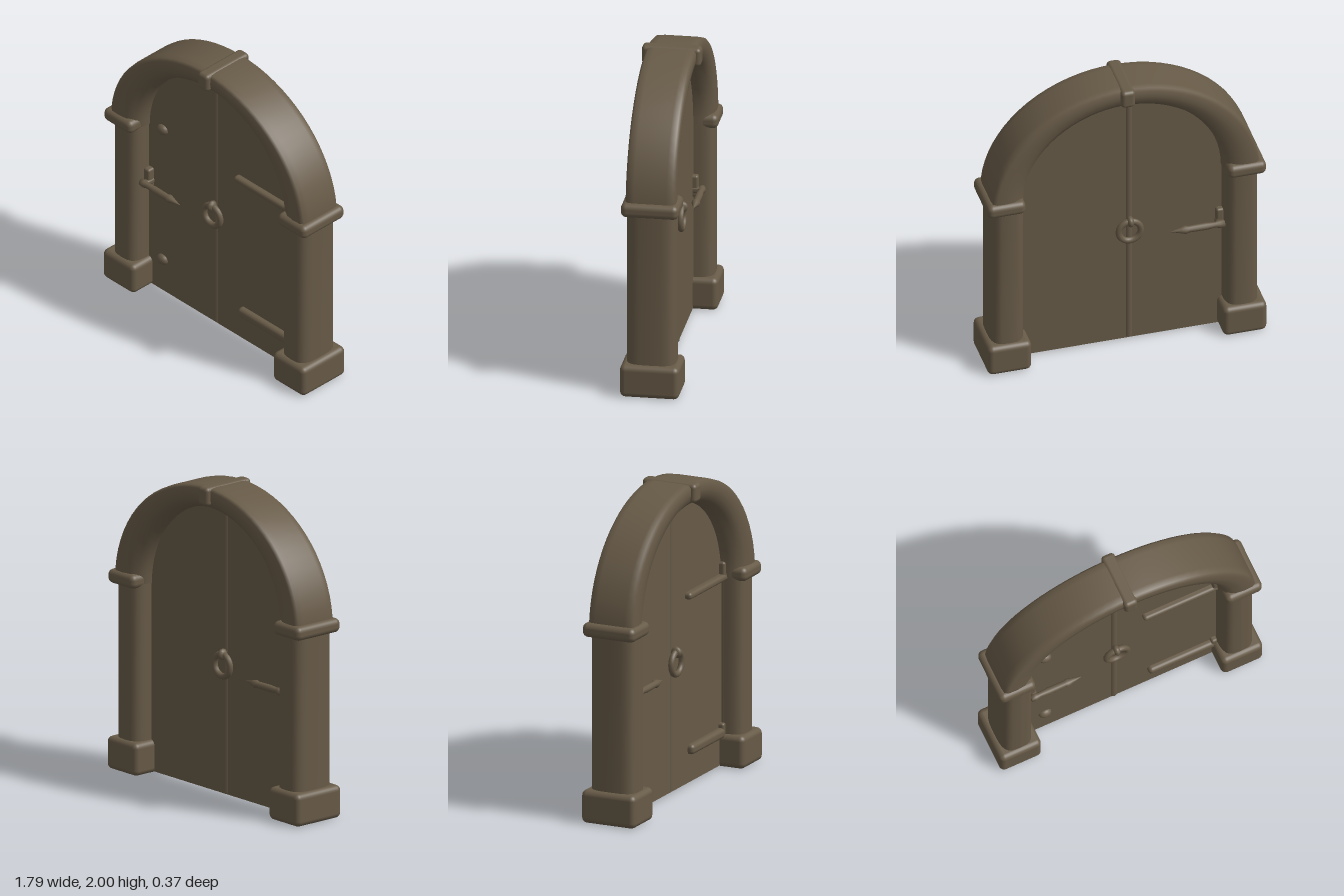
import * as THREE from 'three';
import { mergeVertices } from 'three/addons/utils/BufferGeometryUtils.js';
import { RoundedBoxGeometry } from 'three/addons/geometries/RoundedBoxGeometry.js';

export function createModel() {
  const group = new THREE.Group();
  const bronze = new THREE.MeshStandardMaterial({ color: 0x675a47 });
  bronze.name = 'darkBronze';

  const add = (name, geometry, x = 0, y = 0, z = 0) => {
    const mesh = new THREE.Mesh(geometry, bronze);
    mesh.name = name;
    mesh.position.set(x, y, z);
    group.add(mesh);
    return mesh;
  };
  const block = (name, w, h, d, r, x, y, z) =>
    add(name, new RoundedBoxGeometry(w, h, d, 3, r), x, y, z);

  // Arched door panel, thin and set in the middle of the frame
  const outline = new THREE.Shape();
  outline.moveTo(-0.7, 0.015);
  outline.lineTo(0.7, 0.015);
  outline.lineTo(0.7, 1.2);
  outline.absellipse(0, 1.2, 0.7, 0.7, 0, Math.PI, false);
  outline.lineTo(-0.7, 0.015);
  const panel = new THREE.ExtrudeGeometry(outline, { depth: 0.05, bevelEnabled: false, curveSegments: 32 });
  add('doorPanel', panel, 0, 0, -0.03);

  // Rounded seam between the two leaves, on both faces
  const seam = add('centreSeam', new THREE.CylinderGeometry(0.03, 0.03, 1.83, 12), -0.05, 0.94, -0.005);
  seam.scale.z = 1.15;

  // Arch: a rounded section swept along an ellipse; pairs are radial place and z
  const section = [[0, 0], [0.02, 0.07], [0.14, 0.12], [0.36, 0.15], [0.62, 0.157], [0.88, 0.155], [0.98, 0.14], [1, 0.1],
    [1, 0], [1, -0.1], [0.98, -0.14], [0.88, -0.155], [0.62, -0.157], [0.36, -0.15], [0.14, -0.12], [0.02, -0.07], [0, 0]];
  const steps = section.length - 1;
  let arch = new THREE.PlaneGeometry(1, 1, 36, steps);
  const p = arch.attributes.position;
  const uv = arch.attributes.uv;
  for (let i = 0; i < p.count; i++) {
    const a = Math.PI * (1 - uv.getX(i));
    const [t, z] = section[Math.round(uv.getY(i) * steps)];
    p.setXYZ(i, Math.cos(a) * (0.635 + 0.225 * t), 1.22 + Math.sin(a) * (0.62 + 0.155 * t), z);
  }
  arch.deleteAttribute('uv');
  arch.deleteAttribute('normal');
  arch = mergeVertices(arch);
  arch.computeVertexNormals();
  add('arch', arch);

  // Keystone collar proud of the arch on both faces
  block('keystone', 0.09, 0.12, 0.37, 0.025, -0.005, 1.94, 0);

  // Columns with a soft square section, bases and capital bands
  const column = new THREE.CylinderGeometry(1, 1, 1.06, 24, 1, true);
  const cp = column.attributes.position;
  const soften = (v) => Math.sign(v) * Math.pow(Math.abs(v), 0.6);
  for (let i = 0; i < cp.count; i++) {
    cp.setX(i, soften(cp.getX(i)) * 0.108);
    cp.setZ(i, soften(cp.getZ(i)) * 0.154);
  }
  column.computeVertexNormals();
  for (const side of [-1, 1]) {
    const prefix = side > 0 ? 'left' : 'right';
    add(prefix + 'Column', column, side * 0.75, 0.71, 0);
    block(prefix + 'Base', 0.28, 0.21, 0.37, 0.035, side * 0.753, 0.11, 0);
    block(prefix + 'Capital', 0.245, 0.09, 0.36, 0.035, side * 0.77, 1.24, 0);
  }

  // Strap hinges and thin edge rod on the front of the left leaf
  block('upperStrap', 0.52, 0.045, 0.06, 0.02, 0.4, 1.22, 0.03);
  block('lowerStrap', 0.45, 0.065, 0.06, 0.025, 0.4, 0.228, 0.03);
  block('edgeRod', 0.015, 0.94, 0.03, 0.005, 0.65, 0.75, 0.02);
  block('upperHingePin', 0.04, 0.1, 0.05, 0.015, 0.63, 1.27, 0.03);
  block('lowerHingePin', 0.04, 0.08, 0.05, 0.015, 0.62, 0.25, 0.03);

  // Small studs on the front of the right leaf
  for (const y of [1.235, 0.25]) {
    const stud = add('stud', new THREE.SphereGeometry(0.04, 12, 8), -0.52, y, 0.02);
    stud.scale.set(1.1, 0.9, 0.8);
  }

  // Ring pulls and lever handles on both faces
  const leverProfile = [[0, 0], [0.022, 0], [0.026, 0.03], [0.018, 0.06], [0.023, 0.12], [0.021, 0.23],
    [0.027, 0.25], [0.018, 0.28], [0, 0.345]].map(([r, h]) => new THREE.Vector2(r, h));
  const lever = new THREE.LatheGeometry(leverProfile, 12);
  for (const s of [1, -1]) {
    add('ringPull', new THREE.TorusGeometry(0.071, 0.02, 10, 28), -0.047, 0.845, s * 0.055);
    const knob = add('ringKnob', new THREE.SphereGeometry(0.026, 12, 8), -0.05, 0.915, s * 0.055);
    knob.scale.set(0.9, 1.4, 1.4);
    const handle = add('leverHandle', lever, -0.645, 0.805, s * 0.085);
    handle.rotation.z = -Math.PI / 2;
    block('leverPlate', 0.05, 0.14, 0.06, 0.015, -0.625, 0.83, s * 0.035);
    block('leverNeck', 0.04, 0.04, 0.09, 0.015, -0.615, 0.805, s * 0.05);
  }
  return group;
}
